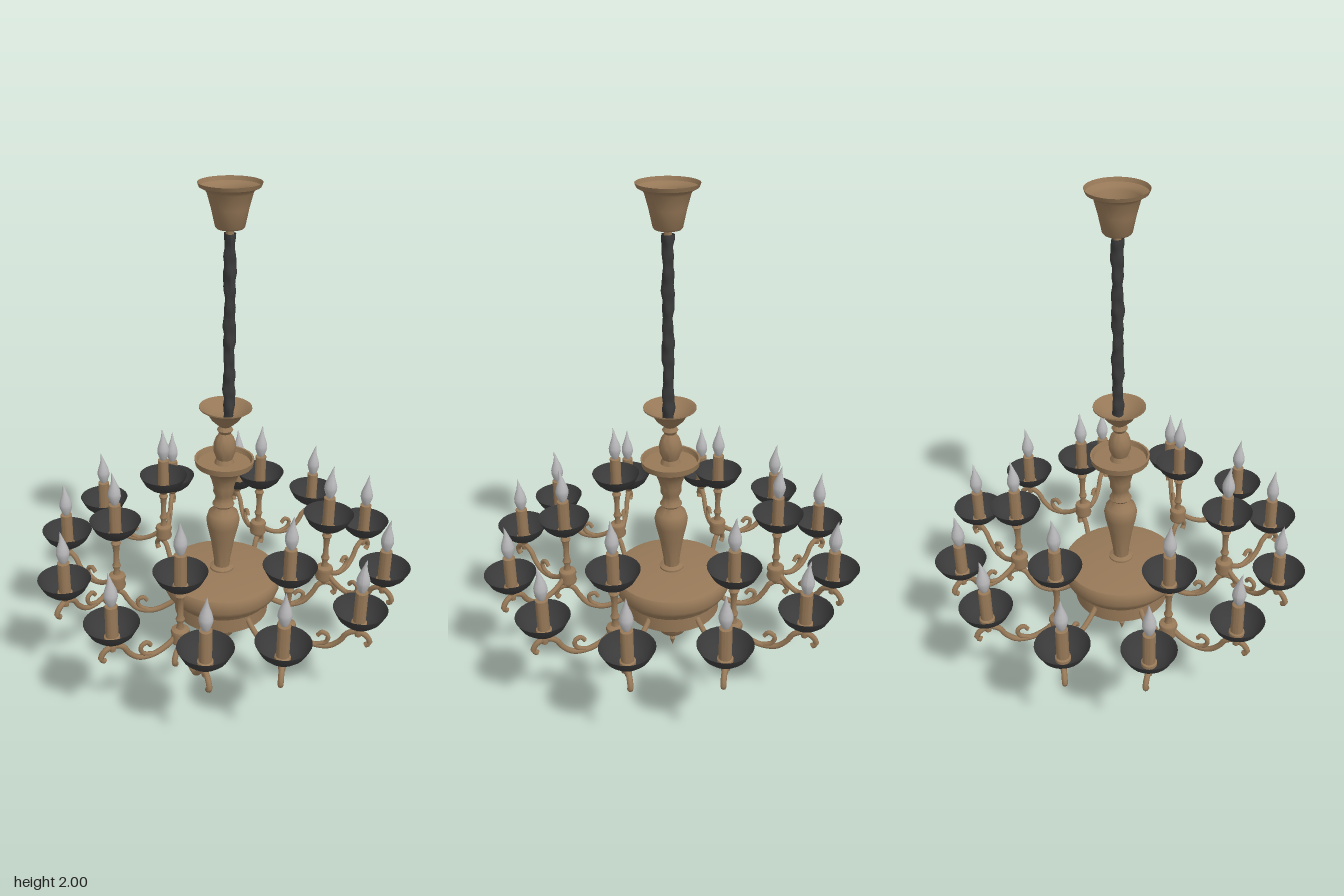
import * as THREE from 'three';
import { toCreasedNormals } from 'three/addons/utils/BufferGeometryUtils.js';

const bronze = new THREE.MeshStandardMaterial({ color: 0x967857, side: THREE.DoubleSide });
bronze.name = 'bronze';
const black = new THREE.MeshStandardMaterial({ color: 0x3a3a3a, side: THREE.DoubleSide });
black.name = 'black';
const glass = new THREE.MeshStandardMaterial({ color: 0xb8b8ba });
glass.name = 'bulb glass';

function mesh(name, geometry, material) {
  const m = new THREE.Mesh(geometry, material);
  m.name = name;
  return m;
}

// Turned part from [radius, height] pairs, listed from the bottom up
function turned(points, sides, crease = 0.7) {
  const lathe = new THREE.LatheGeometry(points.map(p => new THREE.Vector2(...p)), sides);
  return toCreasedNormals(lathe, crease);
}

// Bent rod in the x-y plane through [x, y] pairs
function rod(points, radius, steps = 32) {
  const curve = new THREE.CatmullRomCurve3(points.map(p => new THREE.Vector3(p[0], p[1], 0)));
  return new THREE.TubeGeometry(curve, steps, radius, 8);
}

// Twisted, lumpy sleeve that hides the chain
function sleeveGeometry(bottom, top) {
  const g = new THREE.CylinderGeometry(1, 1, top - bottom, 14, 70, true);
  const p = g.attributes.position;
  for (let i = 0; i < p.count; i++) {
    const y = p.getY(i);
    const a = Math.atan2(p.getZ(i), p.getX(i));
    const r = 0.0215 + 0.0025 * Math.cos(2 * a + 28 * y) + 0.002 * Math.sin(3 * a - 47 * y) + 0.0015 * Math.sin(95 * y);
    p.setXYZ(i, r * Math.cos(a), y + (bottom + top) / 2, r * Math.sin(a));
  }
  g.computeVertexNormals();
  return g;
}

// Flame bulb with its tip bent sideways
function bulbGeometry() {
  const g = new THREE.LatheGeometry([
    [0.013, 0], [0.019, 0.012], [0.026, 0.035], [0.026, 0.05], [0.021, 0.07],
    [0.013, 0.092], [0.007, 0.112], [0.004, 0.128], [0, 0.142]
  ].map(p => new THREE.Vector2(...p)), 14);
  const p = g.attributes.position;
  for (let i = 0; i < p.count; i++) {
    const t = Math.max(0, p.getY(i) - 0.07) / 0.07;
    p.setX(i, p.getX(i) + 0.009 * t * t);
  }
  g.computeVertexNormals();
  return g;
}

// Shared geometry; heights of the light are measured from the cup rim
const cupGeo = turned([[0, -0.078], [0.03, -0.075], [0.06, -0.062], [0.083, -0.04], [0.097, -0.014], [0.104, 0]], 28);
const candleGeo = turned([[0.03, -0.074], [0.03, -0.062], [0.024, -0.058], [0.024, 0.072], [0.012, 0.075], [0, 0.075]], 16);
const bulbGeo = bulbGeometry();
const mainArmGeo = rod([[0.18, 0.275], [0.215, 0.245], [0.29, 0.213], [0.355, 0.227], [0.395, 0.275],
  [0.415, 0.31], [0.445, 0.322], [0.478, 0.307], [0.492, 0.277], [0.478, 0.262]], 0.0115);
const mainCurlGeo = rod([[0.3, 0.213], [0.345, 0.235], [0.352, 0.268], [0.328, 0.28], [0.314, 0.263]], 0.009, 16);
const branchGeo = rod([[0.02, 0.368], [0.055, 0.34], [0.11, 0.318], [0.17, 0.322], [0.21, 0.355],
  [0.232, 0.39], [0.268, 0.407], [0.306, 0.393], [0.322, 0.363], [0.306, 0.35]], 0.011);
const branchCurlGeo = rod([[0.11, 0.318], [0.155, 0.336], [0.162, 0.366], [0.138, 0.38], [0.122, 0.362]], 0.009, 16);
const seatGeo = turned([[0, 0.385], [0.012, 0.388], [0.015, 0.405], [0.012, 0.415], [0.022, 0.425], [0.03, 0.438], [0.02, 0.445]], 14);
const postGeo = turned([[0, 0.31], [0.012, 0.318], [0.018, 0.335], [0.034, 0.342], [0.037, 0.352], [0.032, 0.37],
  [0.037, 0.388], [0.034, 0.398], [0.016, 0.405], [0.011, 0.425], [0.018, 0.445], [0.012, 0.46], [0.011, 0.5],
  [0.015, 0.54], [0.021, 0.552], [0.013, 0.565], [0.026, 0.578], [0.032, 0.588]], 16);

function light(x, y, z) {
  const g = new THREE.Group();
  g.name = 'light';
  g.add(mesh('cup', cupGeo, black), mesh('candle', candleGeo, bronze));
  const bulb = mesh('bulb', bulbGeo, glass);
  bulb.position.y = 0.075;
  g.add(bulb);
  g.position.set(x, y, z);
  return g;
}

// One arm: upper light on a post, with two forked lower lights
function arm(degrees) {
  const g = new THREE.Group();
  g.name = 'arm';
  g.add(mesh('mainScroll', mainArmGeo, bronze), mesh('mainCurl', mainCurlGeo, bronze));
  const hub = 0.437, reach = 0.275;
  const post = mesh('post', postGeo, bronze);
  post.position.x = hub;
  g.add(post, light(hub, 0.66, 0));
  for (const side of [-1, 1]) {
    const branch = new THREE.Group();
    branch.name = 'branch';
    branch.position.x = hub;
    branch.rotation.y = side * THREE.MathUtils.degToRad(42.2);
    const seat = mesh('cupSeat', seatGeo, bronze);
    seat.position.x = reach;
    branch.add(mesh('branchScroll', branchGeo, bronze), mesh('branchCurl', branchCurlGeo, bronze), seat, light(reach, 0.515, 0));
    g.add(branch);
  }
  g.rotation.y = -THREE.MathUtils.degToRad(degrees);
  return g;
}

export function createModel() {
  const model = new THREE.Group();
  model.name = 'chandelier';

  // Body and arms hang slightly out of plumb
  const hanging = new THREE.Group();
  hanging.name = 'hangingBody';
  hanging.position.x = -0.014;
  hanging.rotation.z = -0.021;
  model.add(hanging);

  // Lower bowl with its finial
  hanging.add(mesh('bowl', turned([
    [0, 0.002], [0.006, 0.02], [0.012, 0.04], [0.007, 0.05], [0.016, 0.06], [0.012, 0.07], [0.04, 0.078],
    [0.055, 0.09], [0.065, 0.115], [0.08, 0.145], [0.105, 0.168], [0.112, 0.185], [0.15, 0.195], [0.185, 0.212],
    [0.197, 0.222], [0.197, 0.285], [0.205, 0.29], [0.21, 0.305], [0.235, 0.325], [0.243, 0.345],
    [0.243, 0.385], [0.235, 0.398], [0.19, 0.407], [0.05, 0.415], [0, 0.415]
  ], 36), bronze));

  // Turned column and its two dishes
  hanging.add(mesh('column', turned([
    [0.05, 0.41], [0.05, 0.422], [0.032, 0.43], [0.034, 0.46], [0.048, 0.55], [0.064, 0.62], [0.068, 0.65],
    [0.06, 0.68], [0.042, 0.695], [0.036, 0.71], [0.045, 0.72], [0.036, 0.735], [0.032, 0.755], [0.042, 0.775],
    [0.042, 0.8], [0.05, 0.83], [0.062, 0.86], [0.085, 0.882], [0.1, 0.89], [0.115, 0.9], [0.119, 0.925],
    [0.111, 0.925], [0.105, 0.906], [0.04, 0.906], [0.032, 0.925], [0.043, 0.955], [0.045, 0.985],
    [0.036, 1.015], [0.022, 1.035], [0.032, 1.05], [0.022, 1.065], [0.034, 1.075], [0.055, 1.095],
    [0.07, 1.12], [0.103, 1.143], [0.103, 1.148], [0.09, 1.142], [0.055, 1.11], [0, 1.1]
  ], 28), bronze));

  // Six forked arms
  for (const degrees of [2, 62, 118.3, 180.7, 240.3, 299.5]) hanging.add(arm(degrees));

  // Chain sleeve
  const sleeve = mesh('chainSleeve', sleeveGeometry(1.1, 1.82), black);
  sleeve.position.x = 0.018;
  sleeve.rotation.z = -0.004;
  model.add(sleeve);

  // Open ceiling canopy with a small connector
  const canopy = mesh('canopy', turned([
    [0, 1.815], [0.014, 1.817], [0.014, 1.836], [0.048, 1.838], [0.054, 1.845], [0.068, 1.91],
    [0.083, 1.965], [0.09, 1.975], [0.11, 1.985], [0.116, 2]
  ], 32), bronze);
  canopy.position.x = 0.025;
  model.add(canopy);
  const screw = mesh('canopyScrew', new THREE.CylinderGeometry(0.008, 0.012, 0.03, 10), bronze);
  screw.position.set(0.025, 1.852, 0);
  model.add(screw);

  return model;
}
